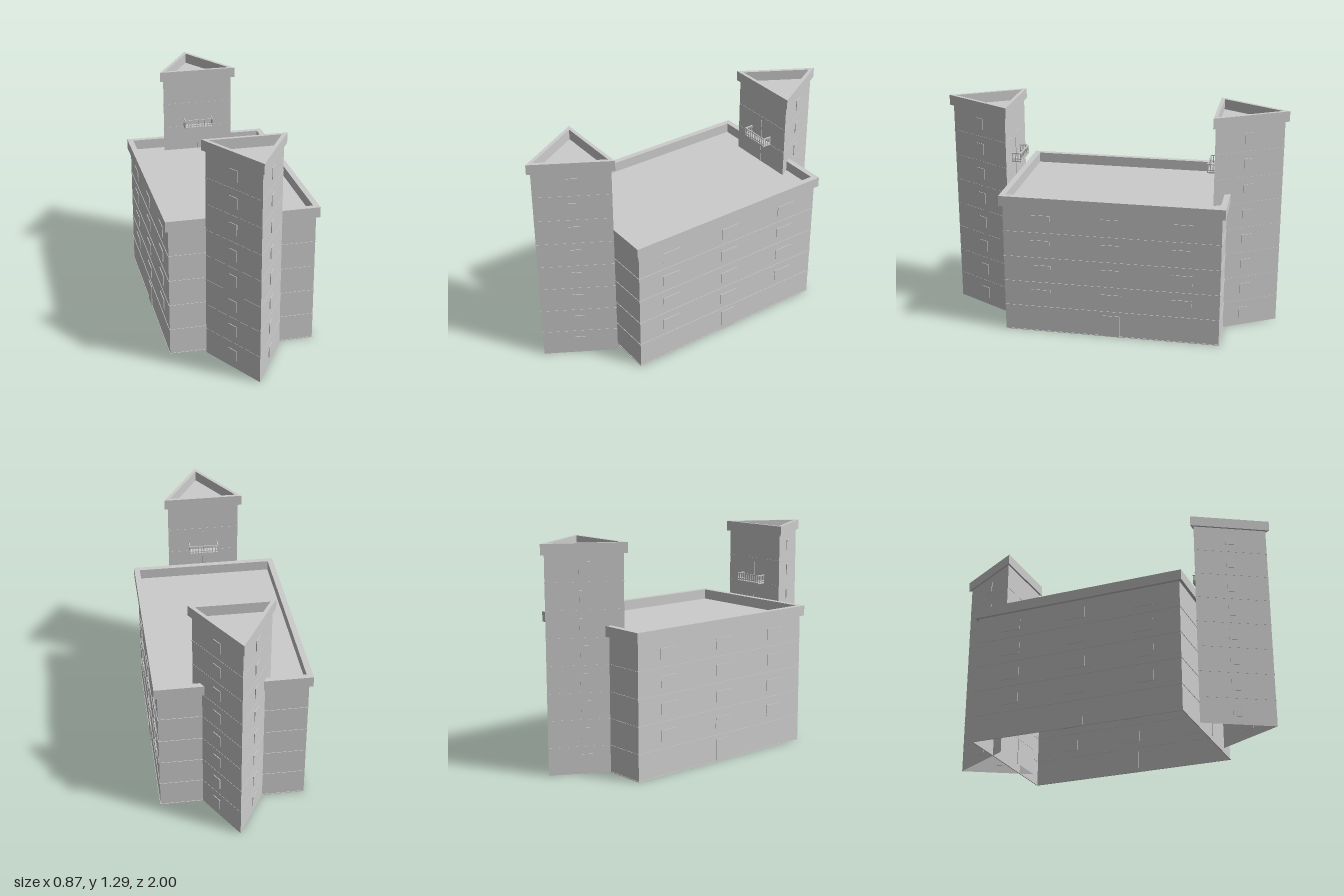
import * as THREE from 'three';

const mat = new THREE.MeshStandardMaterial({ color: 0xcccccc, flatShading: true, side: THREE.DoubleSide });
const STOREY = 0.153;

function add(parent, name, geometry, x = 0, y = 0, z = 0) {
  const mesh = new THREE.Mesh(geometry, mat);
  mesh.name = name;
  mesh.position.set(x, y, z);
  parent.add(mesh);
  return mesh;
}

const box = (w, h, d) => new THREE.BoxGeometry(w, h, d);

// Plan outlines as [x, z] corners
const rectangle = (hx, hz) => [[-hx, -hz], [hx, -hz], [hx, hz], [-hx, hz]];
const triangle = (r) => [0, 1, 2].map((i) => {
  const a = i * Math.PI * 2 / 3;
  return [r * Math.sin(a), r * Math.cos(a)];
});
const toPoints = (plan) => plan.map(([x, z]) => new THREE.Vector2(x, -z));

// Flat ring between two outlines, standing on y = 0
function ring(outer, inner, height) {
  const shape = new THREE.Shape(toPoints(outer));
  shape.holes.push(new THREE.Path(toPoints(inner)));
  return new THREE.ExtrudeGeometry(shape, { depth: height, bevelEnabled: false }).rotateX(-Math.PI / 2);
}

const slab = (plan) => new THREE.ShapeGeometry(new THREE.Shape(toPoints(plan))).rotateX(-Math.PI / 2);

// Wide block: open-bottomed walls, roof, parapet, storey bands, windows and doors
function buildHall() {
  const hall = new THREE.Group();
  hall.name = 'hall';
  hall.position.z = -0.05;
  const hx = 0.418, hz = 0.626, h = 0.77;

  const walls = new THREE.CylinderGeometry(Math.SQRT2, Math.SQRT2, h, 4, 1, true);
  walls.rotateY(Math.PI / 4).scale(hx, 1, hz);
  add(hall, 'hallWalls', walls, 0, h / 2, 0);
  add(hall, 'hallRoof', slab(rectangle(hx, hz)), 0, h, 0);
  add(hall, 'hallParapet', ring(rectangle(0.437, 0.644), rectangle(0.403, 0.61), 0.06), 0, h, 0);

  for (let i = 0; i < 5; i++) {
    const band = ring(rectangle(hx + 0.003, hz + 0.003), rectangle(hx - 0.003, hz - 0.003), 0.004);
    add(hall, 'storeyBand', band, 0, i * STOREY, 0);
  }
  for (const side of [-1, 1]) {
    add(hall, 'door', box(0.008, 0.13, 0.1), side * hx, 0.065, 0);
    for (let floor = 1; floor < 5; floor++) {
      for (const z of [-0.41, 0, 0.41]) {
        add(hall, 'hallWindow', box(0.008, 0.065, 0.115), side * hx, (floor + 0.5) * STOREY, z);
      }
    }
  }
  return hall;
}

// Railed balcony projecting towards -z from its origin
function buildBalcony() {
  const balcony = new THREE.Group();
  balcony.name = 'balcony';
  const w = 0.18, d = 0.055, h = 0.055, t = 0.006;
  add(balcony, 'balconyFloor', box(w, 0.008, d), 0, 0.004, -d / 2);
  for (const y of [0.018, h - t / 2]) {
    add(balcony, 'frontRail', box(w, t, t), 0, y, -d + t / 2);
    for (const s of [-1, 1]) add(balcony, 'sideRail', box(t, t, d), s * (w - t) / 2, y, -d / 2);
  }
  for (let i = 0; i <= 10; i++) {
    add(balcony, 'baluster', box(0.005, h, 0.005), (i / 10 - 0.5) * (w - t), h / 2, -d + t / 2);
  }
  for (const s of [-1, 1]) {
    for (const z of [-0.004, -0.02, -0.036]) {
      add(balcony, 'baluster', box(0.005, h, 0.005), s * (w - t) / 2, h / 2, z);
    }
  }
  return balcony;
}

// Triangular tower pointing to +z, with its flat inner face to -z
function buildTower(name) {
  const tower = new THREE.Group();
  tower.name = name;
  const r = 0.248, h = 1.226;

  add(tower, 'towerWalls', new THREE.CylinderGeometry(r, r, h, 3, 1, true), 0, h / 2, 0);
  add(tower, 'towerRoof', slab(triangle(r)), 0, h, 0);
  add(tower, 'towerParapet', ring(triangle(0.272), triangle(0.23), 0.06), 0, h, 0);

  for (let i = 1; i < 8; i++) {
    add(tower, 'storeyBand', ring(triangle(r + 0.003), triangle(r - 0.005), 0.004), 0, i * STOREY, 0);
  }
  // Windows centred on the two outer faces
  for (const angle of [-Math.PI / 3, Math.PI / 3]) {
    const face = new THREE.Group();
    face.name = 'windowColumn';
    face.rotation.y = angle;
    for (let i = 0; i < 8; i++) {
      add(face, 'towerWindow', box(0.06, 0.065, 0.008), 0, 0.08 + i * STOREY, r / 2);
    }
    tower.add(face);
  }
  // Inner face: slim vertical strip and balcony
  add(tower, 'verticalStrip', box(0.006, 1.05, 0.006), 0, 0.525, -r / 2);
  const balcony = buildBalcony();
  balcony.position.set(0, 0.922, -r / 2);
  tower.add(balcony);
  return tower;
}

export function createModel() {
  const model = new THREE.Group();
  model.name = 'building';
  model.add(buildHall());

  const front = buildTower('frontTower');
  front.position.z = 0.727;
  const back = buildTower('backTower');
  back.position.z = -0.727;
  back.rotation.y = Math.PI;
  model.add(front, back);
  return model;
}
